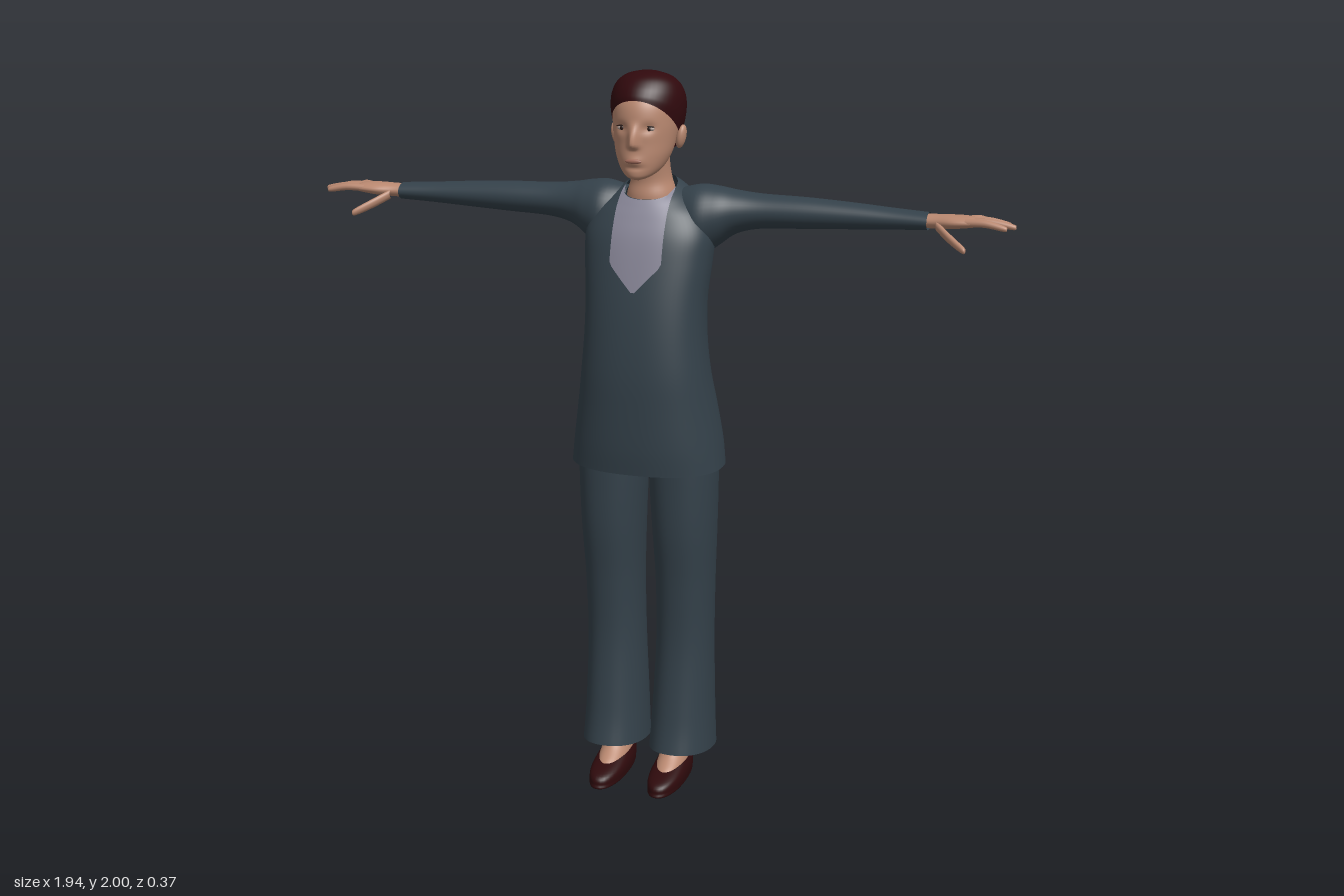
import * as THREE from 'three';

const mat = (name, color, side = THREE.FrontSide) => {
  const m = new THREE.MeshStandardMaterial({ color, side });
  m.name = name;
  return m;
};

// Catmull-Rom through rows of numbers; t runs from 0 to 1
function sample(rows, t) {
  const n = rows.length - 1, f = Math.min(t, 1) * n;
  const i = Math.min(Math.floor(f), n - 1), u = f - i;
  const row = k => rows[Math.max(0, Math.min(n, k))];
  return rows[0].map((_, c) => {
    const a = row(i - 1)[c], b = row(i)[c], d = row(i + 1)[c], e = row(i + 2)[c];
    return b + 0.5 * u * (d - a + u * (2 * a - 5 * b + 4 * d - e + u * (3 * (b - d) + e - a)));
  });
}

const power = (v, p) => Math.sign(v) * Math.abs(v) ** p;

// Upright section: [yFront, yBack, zFront, zBack, halfWidth, centreX]
function uprightPoint([yF, yB, zF, zB, hw, cx = 0], a, p) {
  const s = power(Math.sin(a), p), c = power(Math.cos(a), p);
  const k = (1 + c) / 2;
  return [cx + hw * s, yB + (yF - yB) * k, zB + (zF - zB) * k];
}

// Sideways section: [x, yTop, yBottom, zFront, zBack]
function sidewaysPoint([x, yT, yB, zF, zB], a, p) {
  const s = power(Math.sin(a), p), c = power(Math.cos(a), p);
  return [x, (yT + yB) / 2 + (yT - yB) / 2 * c, (zF + zB) / 2 + (zF - zB) / 2 * s];
}

function gridGeometry(rows, cols, point, closed) {
  const pos = [], idx = [], n = closed ? cols : cols + 1;
  for (let i = 0; i <= rows; i++) for (let j = 0; j < n; j++) pos.push(...point(i / rows, j / cols));
  for (let i = 0; i < rows; i++) for (let j = 0; j < cols; j++) {
    const a = i * n + j, b = i * n + (j + 1) % n;
    idx.push(a, b, b + n, a, b + n, a + n);
  }
  const g = new THREE.BufferGeometry();
  g.setAttribute('position', new THREE.Float32BufferAttribute(pos, 3));
  g.setIndex(idx);
  g.computeVertexNormals();
  return g;
}

const loft = (rows, point, { steps = 40, segs = 40, p = 1 } = {}) =>
  gridGeometry(steps, segs, (t, u) => point(sample(rows, t), u * Math.PI * 2, p), true);

function ellipsoid(x, y, z, rx, ry, rz, tilt = 0) {
  return new THREE.SphereGeometry(1, 24, 16).scale(rx, ry, rz).rotateZ(tilt).translate(x, y, z);
}

// Reflected copy with the corner order turned round
function mirrored(geometry) {
  const g = geometry.clone().scale(-1, 1, 1), ix = g.index;
  for (let i = 0; i < ix.count; i += 3) {
    const b = ix.getX(i + 1);
    ix.setX(i + 1, ix.getX(i + 2));
    ix.setX(i + 2, b);
  }
  g.computeVertexNormals();
  return g;
}

export function createModel() {
  const model = new THREE.Group();
  model.name = 'standingWoman';
  const suit = mat('suit cloth', 0x34414a, THREE.DoubleSide);
  const shirt = mat('shirt cloth', 0x878596, THREE.DoubleSide);
  const skin = mat('skin', 0xb98870);
  const hair = mat('hair', 0x30090d, THREE.DoubleSide);
  const shoe = mat('shoe leather', 0x2e0a0c, THREE.DoubleSide);
  const ribbon = mat('hair ribbon', 0x78081a);
  const lip = mat('lips', 0xa06a5a);
  const eyeWhite = mat('eye white', 0xa89890);
  const dark = mat('iris and lashes', 0x2a1a16);

  const add = (name, geometry, material) => {
    const m = new THREE.Mesh(geometry, material);
    m.name = name;
    model.add(m);
  };
  const pair = (name, geometry, material) => {
    add(name + 'Left', geometry, material);
    add(name + 'Right', mirrored(geometry), material);
  };

  // Long jacket, from hem to collar
  const jacket = [
    [0.93, 0.93, 0.135, -0.175, 0.213], [1.0, 1.0, 0.142, -0.182, 0.205],
    [1.1, 1.1, 0.145, -0.165, 0.19], [1.2, 1.2, 0.145, -0.135, 0.176],
    [1.3, 1.3, 0.137, -0.122, 0.167], [1.4, 1.4, 0.122, -0.12, 0.166],
    [1.5, 1.5, 0.1, -0.135, 0.174], [1.57, 1.58, 0.08, -0.148, 0.176],
    [1.62, 1.65, 0.057, -0.145, 0.15], [1.65, 1.7, 0.04, -0.122, 0.1],
    [1.665, 1.72, 0.03, -0.102, 0.07],
  ];
  const P = 0.85;
  add('jacket', loft(jacket, uprightPoint, { steps: 60, segs: 64, p: P }), suit);

  // Shirt front: a thin panel that follows the jacket's chest to a point
  const tPoint = 0.53;
  add('shirtFront', gridGeometry(30, 16, (v, u) => {
    const row = sample(jacket, tPoint + (1 - tPoint) * v);
    const x = (u * 2 - 1) * Math.min(0.072, 0.004 + (row[0] - 1.43) * 0.95, row[4]);
    const a = Math.sign(x) * Math.asin(Math.min(1, Math.abs(x) / row[4]) ** (1 / P));
    const q = uprightPoint(row, a, P);
    return [q[0], q[1], q[2] + 0.005];
  }, false), shirt);

  // Sleeves, widening into the shoulders
  pair('sleeve', loft([
    [0.07, 1.685, 1.5, 0.0, -0.125], [0.13, 1.699, 1.5, 0.022, -0.15],
    [0.18, 1.695, 1.535, 0.01, -0.15], [0.23, 1.686, 1.57, -0.01, -0.142],
    [0.3, 1.679, 1.587, -0.024, -0.133], [0.42, 1.676, 1.593, -0.03, -0.127],
    [0.55, 1.669, 1.6, -0.035, -0.12], [0.65, 1.662, 1.606, -0.036, -0.113],
    [0.745, 1.657, 1.611, -0.032, -0.105],
  ], sidewaysPoint), suit);

  // Hands: palm, four fingers and thumb
  pair('palm', loft([
    [0.72, 1.653, 1.616, -0.042, -0.095], [0.765, 1.654, 1.617, -0.035, -0.097],
    [0.81, 1.656, 1.62, -0.02, -0.1], [0.85, 1.655, 1.625, -0.018, -0.1],
    [0.872, 1.65, 1.63, -0.022, -0.096], [0.878, 1.641, 1.639, -0.05, -0.07],
  ], sidewaysPoint, { steps: 20, segs: 24 }), skin);
  const digit = (a, b, c, r) => {
    const at = ([x, y, z], k) => [x, y + k, y - k, z + k, z - k];
    const end = [c[0] + r * 0.5, c[1], c[2]];
    return loft([at(a, r), at(b, r), at(c, r * 0.75), at(end, r * 0.05)], sidewaysPoint, { steps: 15, segs: 12 });
  };
  const fingers = [['indexFinger', 0.948, -0.029, -0.018], ['middleFinger', 0.966, -0.05, -0.05],
    ['ringFinger', 0.95, -0.07, -0.08], ['littleFinger', 0.905, -0.089, -0.1]];
  for (const [name, x, z0, z1] of fingers)
    pair(name, digit([0.845, 1.641, z0], [(0.845 + x) / 2, 1.643, (z0 + z1) / 2], [x, 1.634, z1], 0.0098), skin);
  pair('thumb', digit([0.77, 1.628, -0.042], [0.81, 1.604, -0.005], [0.852, 1.582, 0.026], 0.013), skin);

  // Trouser legs with slanted hems
  pair('trouserLeg', loft([
    [0.1, 0.065, 0.1, -0.162, 0.09, 0.1], [0.2, 0.2, 0.08, -0.155, 0.085, 0.1],
    [0.4, 0.4, 0.06, -0.145, 0.079, 0.102], [0.58, 0.58, 0.067, -0.14, 0.08, 0.104],
    [0.75, 0.75, 0.085, -0.136, 0.087, 0.104], [0.9, 0.9, 0.09, -0.13, 0.093, 0.102],
    [1.02, 1.02, 0.09, -0.12, 0.095, 0.1],
  ], uprightPoint, { p: 0.9 }), suit);

  // Feet and slip-on shoes
  pair('foot', loft([
    [0.025, 0.025, 0.13, -0.08, 0.04, 0.087], [0.05, 0.06, 0.115, -0.08, 0.041, 0.087],
    [0.085, 0.09, 0.06, -0.077, 0.037, 0.088], [0.13, 0.13, 0.03, -0.08, 0.035, 0.09],
    [0.25, 0.25, 0.02, -0.085, 0.04, 0.095],
  ], uprightPoint, { steps: 24 }), skin);
  pair('shoe', loft([
    [0.002, 0.002, 0.02, 0.01, 0.002, 0.087], [0, 0, 0.168, -0.082, 0.042, 0.087],
    [0.015, 0.015, 0.181, -0.09, 0.049, 0.087], [0.036, 0.04, 0.168, -0.091, 0.049, 0.087],
    [0.054, 0.068, 0.1, -0.086, 0.042, 0.087],
  ], uprightPoint, { steps: 24, p: 0.9 }), shoe);

  // Neck
  add('neck', loft([
    [1.62, 1.62, 0.02, -0.12, 0.075], [1.67, 1.68, 0.022, -0.108, 0.066],
    [1.71, 1.72, 0.016, -0.098, 0.055], [1.76, 1.76, 0.025, -0.085, 0.052],
    [1.81, 1.81, 0.035, -0.08, 0.055],
  ], uprightPoint, { steps: 20 }), skin);

  // Head, with nose, lips, chin and eye sockets shaped by moving vertices
  const head = loft([
    [1.722, 1.73, 0.07, 0.04, 0.004], [1.73, 1.738, 0.1, 0.01, 0.032],
    [1.75, 1.755, 0.107, -0.03, 0.054], [1.785, 1.785, 0.108, -0.06, 0.071],
    [1.82, 1.82, 0.107, -0.082, 0.08], [1.87, 1.87, 0.108, -0.1, 0.086],
    [1.92, 1.92, 0.099, -0.105, 0.085], [1.96, 1.96, 0.07, -0.085, 0.065],
    [1.982, 1.982, 0.03, -0.05, 0.035], [1.99, 1.99, -0.005, -0.015, 0.005],
  ], uprightPoint, { steps: 80, segs: 96 });
  const pos = head.attributes.position;
  const bell = (v, w) => Math.exp(-((v / w) ** 2));
  const ramp = THREE.MathUtils.smoothstep;
  for (let i = 0; i < pos.count; i++) {
    const x = pos.getX(i), y = pos.getY(i), z = pos.getZ(i);
    if (z < 0.04) continue;
    const nose = 0.025 * bell(x, 0.012) * (1 - ramp(y, 1.823, 1.885)) * ramp(y, 1.803, 1.82);
    const socket = 0.008 * bell(Math.abs(x) - 0.036, 0.017) * bell(y - 1.861, 0.013);
    const mouth = 0.005 * bell(x, 0.022) * bell(y - 1.777, 0.012);
    const underLip = 0.004 * bell(x, 0.025) * bell(y - 1.759, 0.007);
    pos.setZ(i, z + nose + mouth - socket - underLip);
  }
  head.computeVertexNormals();
  add('head', head, skin);
  pair('ear', ellipsoid(0.09, 1.83, -0.016, 0.013, 0.032, 0.019, -0.2), skin);
  pair('eye', ellipsoid(0.037, 1.86, 0.088, 0.014, 0.006, 0.005), eyeWhite);
  pair('iris', ellipsoid(0.037, 1.86, 0.0915, 0.0055, 0.0055, 0.003), dark);
  pair('lashes', ellipsoid(0.038, 1.8665, 0.0905, 0.015, 0.0022, 0.004, -0.08), dark);
  add('mouth', ellipsoid(0, 1.777, 0.109, 0.023, 0.0065, 0.006), lip);

  // Swept-back hair with a bun and ribbon
  add('hair', loft([
    [1.932, 1.775, 0.1, -0.084, 0.088], [1.945, 1.83, 0.096, -0.112, 0.097],
    [1.965, 1.89, 0.083, -0.126, 0.098], [1.985, 1.94, 0.06, -0.112, 0.086],
    [1.997, 1.975, 0.03, -0.082, 0.06], [2.0, 1.995, 0.0, -0.04, 0.025],
    [2.0, 2.0, -0.018, -0.02, 0.001],
  ], uprightPoint, { segs: 48 }), hair);
  add('bun', ellipsoid(0, 1.906, -0.122, 0.046, 0.046, 0.04), hair);
  add('ribbon', ellipsoid(0.004, 1.912, -0.152, 0.009, 0.034, 0.012, -0.8), ribbon);

  return model;
}
